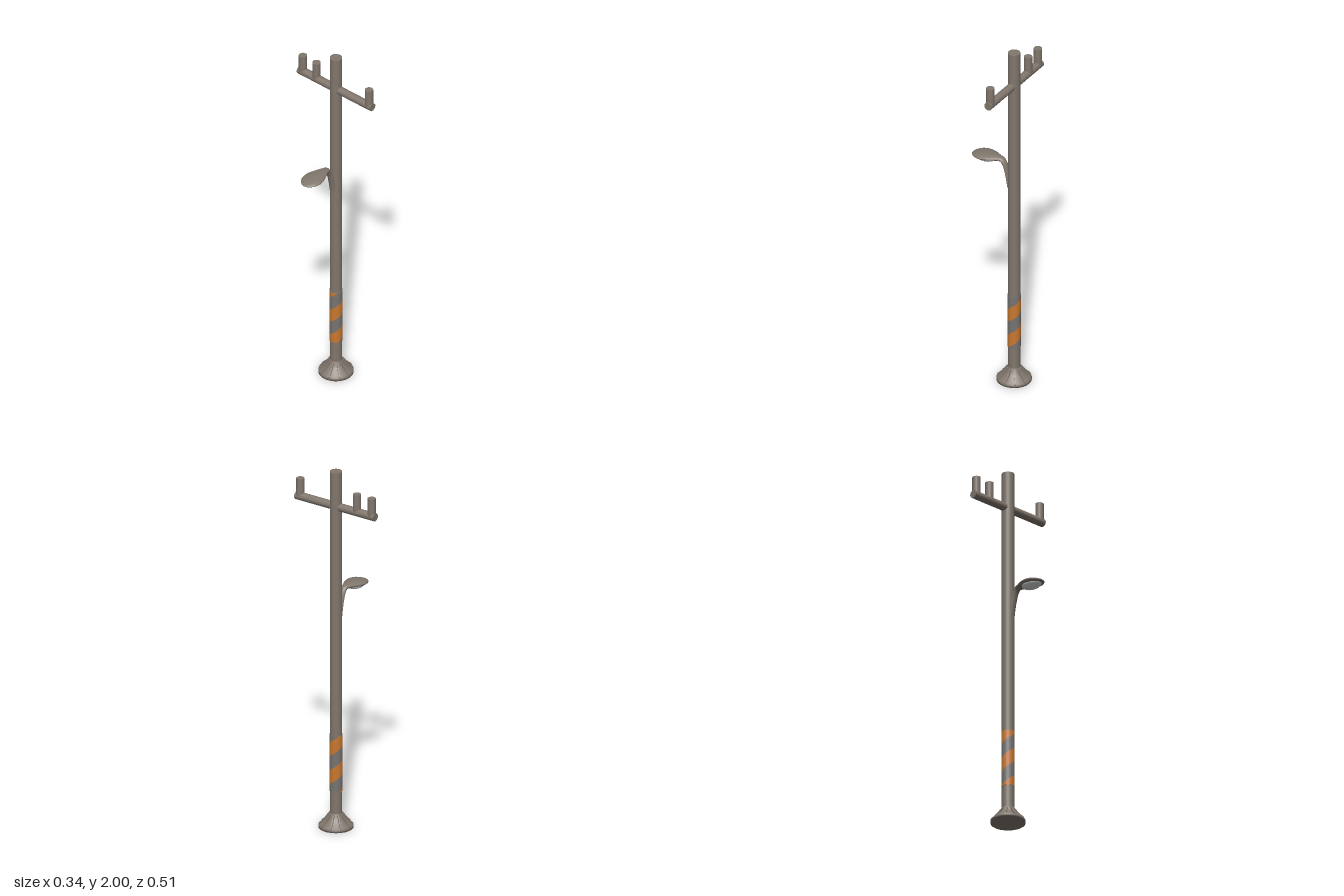
import * as THREE from 'three';

const mat = (name, color) => {
  const m = new THREE.MeshStandardMaterial({ color });
  m.name = name;
  return m;
};

// Grid surface from rows of points; every row has the same length
function gridGeometry(rows) {
  const n = rows[0].length, index = [];
  for (let i = 0; i < rows.length - 1; i++)
    for (let j = 0; j < n - 1; j++) {
      const a = i * n + j, b = a + n;
      index.push(a, b, a + 1, b, b + 1, a + 1);
    }
  const g = new THREE.BufferGeometry();
  g.setAttribute('position', new THREE.Float32BufferAttribute(rows.flat(2), 3));
  g.setIndex(index);
  g.computeVertexNormals();
  return g;
}

export function createModel() {
  const root = new THREE.Group();
  root.name = 'utilityPole';
  const steel = mat('warm grey steel', 0x81776d);
  const sleeveGrey = mat('sleeve grey', 0x777471);
  const orange = mat('warning orange', 0xc9782f);
  const glass = mat('lamp glass', 0xd4d6d6);
  for (const m of [sleeveGrey, orange, steel]) m.side = THREE.DoubleSide;

  // Everything on the pole axis goes in this group
  const axis = new THREE.Group();
  axis.name = 'poleAssembly';
  axis.position.x = 0.078;
  root.add(axis);
  const add = (parent, name, geo, material, x = 0, y = 0, z = 0) => {
    const m = new THREE.Mesh(geo, material);
    m.name = name;
    m.position.set(x, y, z);
    parent.add(m);
    return m;
  };

  // Shaft
  add(axis, 'pole', new THREE.CylinderGeometry(0.0325, 0.0325, 1.99, 32), steel, 0, 1.005, 0);

  // Cross arm with three insulator pins
  add(axis, 'crossArm', new THREE.CylinderGeometry(0.022, 0.022, 0.51, 24), steel, 0, 1.803, 0)
    .rotation.x = Math.PI / 2;
  for (const z of [0.231, -0.136, -0.231])
    add(axis, 'pin', new THREE.CylinderGeometry(0.022, 0.022, 0.1, 24), steel, 0, 1.855, z);

  // Flared foot with a low rim
  const profile = [[0, 0], [0.092, 0], [0.092, 0.012], [0.086, 0.018], [0.067, 0.032],
    [0.05, 0.05], [0.039, 0.068], [0.036, 0.082], [0.032, 0.082]];
  add(axis, 'foot', new THREE.LatheGeometry(profile.map(p => new THREE.Vector2(...p)), 40), steel);

  // Radial stiffening ribs on the foot
  const ribShape = new THREE.Shape([[0.03, 0.01], [0.091, 0.01], [0.09, 0.02], [0.073, 0.035],
    [0.055, 0.056], [0.042, 0.076], [0.03, 0.08]].map(p => new THREE.Vector2(...p)));
  const ribGeo = new THREE.ExtrudeGeometry(ribShape, { depth: 0.007, bevelEnabled: false });
  ribGeo.translate(0, 0, -0.0035);
  for (let i = 0; i < 10; i++)
    add(axis, 'footRib', ribGeo, steel).rotation.y = (i + 0.5) * Math.PI / 5;

  // Warning sleeve: two interlocking helical bands, clipped to the sleeve height
  const y0 = 0.205, y1 = 0.52, period = (y1 - y0) / 2, r = 0.035;
  const helix = centre => {
    const rows = [];
    for (let i = -144; i <= 144; i++) {
      const t = i / 48, a = t * Math.PI * 2, mid = centre + t * period;
      rows.push([1, -1].map(s => [
        Math.sin(a) * r,
        THREE.MathUtils.clamp(mid + s * period / 4, y0, y1),
        Math.cos(a) * r]));
    }
    // Drop rows fully outside the sleeve
    const geo = gridGeometry(rows.filter(w => w[0][1] - w[1][1] > 1e-5));
    const pos = geo.attributes.position, nor = geo.attributes.normal;
    for (let i = 0; i < pos.count; i++) nor.setXYZ(i, pos.getX(i) / r, 0, pos.getZ(i) / r);
    // Outward winding
    const idx = geo.index.array;
    const p = k => new THREE.Vector3().fromBufferAttribute(pos, idx[k]);
    const mid = Math.floor(idx.length / 12) * 6;
    const face = p(mid + 1).sub(p(mid)).cross(p(mid + 2).sub(p(mid)));
    if (face.dot(p(mid).setY(0)) < 0)
      for (let k = 0; k < idx.length; k += 3) [idx[k], idx[k + 1]] = [idx[k + 1], idx[k]];
    return geo;
  };
  add(axis, 'sleeveOrangeBand', helix(0.415), orange);
  add(axis, 'sleeveGreyBand', helix(0.415 - period / 2), sleeveGrey);
  for (const y of [y0, y1])
    add(axis, 'sleeveEdge', new THREE.RingGeometry(0.032, r, 48), sleeveGrey, 0, y, 0)
      .rotation.x = y === y1 ? -Math.PI / 2 : Math.PI / 2;

  // Street lamp
  const lamp = new THREE.Group();
  lamp.name = 'streetLamp';
  root.add(lamp);

  // Sections along bracket and head: x, y, half width, half thickness
  const stations = [
    [0.047, 1.17, 0.016, 0.006], [0.043, 1.215, 0.018, 0.009], [0.034, 1.26, 0.018, 0.011],
    [0.022, 1.298, 0.018, 0.012], [0.006, 1.32, 0.019, 0.012], [-0.016, 1.323, 0.026, 0.013],
    [-0.045, 1.322, 0.04, 0.015], [-0.075, 1.32, 0.052, 0.016], [-0.105, 1.318, 0.056, 0.016],
    [-0.135, 1.316, 0.05, 0.013], [-0.158, 1.314, 0.034, 0.008], [-0.169, 1.313, 0.018, 0.004],
    [-0.173, 1.312, 0.001, 0.001]];
  const spine = new THREE.CatmullRomCurve3(stations.map(s => new THREE.Vector3(s[0], s[1], 0)));
  const sizes = new THREE.CatmullRomCurve3(stations.map(s => new THREE.Vector3(s[2], s[3], 0)));
  const rows = [], steps = 48, sides = 24;
  for (let i = 0; i <= steps; i++) {
    const c = spine.getPoint(i / steps), d = spine.getTangent(i / steps);
    const s = sizes.getPoint(i / steps), row = [];
    for (let j = 0; j <= sides; j++) {
      const a = j / sides * Math.PI * 2;
      const h = Math.sin(a) * s.y;
      row.push([c.x + d.y * h, c.y - d.x * h, Math.cos(a) * s.x]);
    }
    rows.push(row);
  }
  add(lamp, 'lampBracketAndHead', gridGeometry(rows.map(w => w.reverse())), steel);

  // Shallow glass bowl under the head
  const bowl = new THREE.SphereGeometry(1, 32, 10, 0, Math.PI * 2, Math.PI / 2, Math.PI / 2);
  add(lamp, 'lampGlass', bowl, glass, -0.097, 1.309, 0).scale.set(0.06, 0.022, 0.042);

  return root;
}
